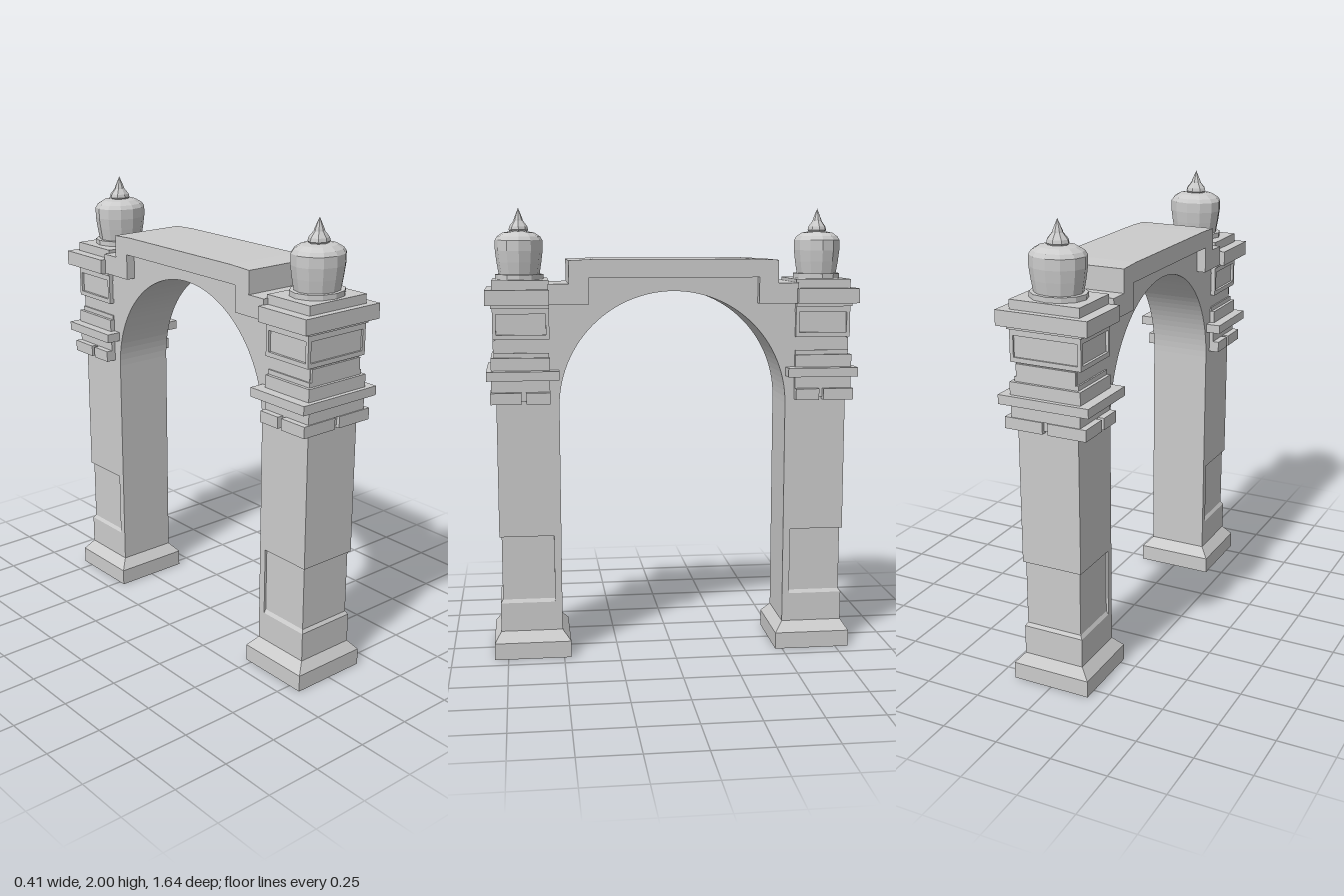
import * as THREE from 'three';

const mat = new THREE.MeshStandardMaterial({ color: 0xcccccc, flatShading: true, side: THREE.DoubleSide });

function add(parent, name, geometry) {
  const mesh = new THREE.Mesh(geometry, mat);
  mesh.name = name;
  parent.add(mesh);
  return mesh;
}

// Box given by its limits on each axis
function block(parent, name, x0, x1, y0, y1, z0, z1) {
  const mesh = add(parent, name, new THREE.BoxGeometry(x1 - x0, y1 - y0, z1 - z0));
  mesh.position.set((x0 + x1) / 2, (y0 + y1) / 2, (z0 + z1) / 2);
  return mesh;
}

// Box whose top is shrunk to a smaller rectangle
function taper(parent, name, y0, y1, [hx0, zi0, zo0], [hx1, zi1, zo1]) {
  const g = new THREE.BoxGeometry(1, 1, 1);
  const p = g.attributes.position;
  for (let i = 0; i < p.count; i++) {
    const top = p.getY(i) > 0;
    const hx = top ? hx1 : hx0;
    const z = p.getZ(i) > 0 ? (top ? zo1 : zo0) : (top ? zi1 : zi0);
    p.setXYZ(i, Math.sign(p.getX(i)) * hx, top ? y1 : y0, z);
  }
  g.computeVertexNormals();
  return add(parent, name, g);
}

function lathe(parent, name, points, sides) {
  return add(parent, name, new THREE.LatheGeometry(points.map(([r, y]) => new THREE.Vector2(r, y)), sides));
}

function createPillar() {
  const pillar = new THREE.Group();
  const IN = 0.505, OUT = 0.78, W = 0.138;

  // Plinth and its sloped shoulder
  block(pillar, 'plinth', -0.178, 0.178, 0, 0.075, 0.468, 0.81);
  taper(pillar, 'plinthShoulder', 0.075, 0.12, [0.178, 0.468, 0.81], [W, IN, OUT]);

  // Shaft with a shallow sunken band wrapping its outer faces
  block(pillar, 'lowerShaft', -W, W, 0.12, 0.25, IN, OUT);
  taper(pillar, 'sunkenBandSill', 0.25, 0.265, [W, IN, OUT], [0.128, IN, 0.77]);
  block(pillar, 'sunkenBand', -0.128, 0.128, 0.265, 0.555, IN, 0.77);
  block(pillar, 'shaftInnerStrip', -W, W, 0.25, 0.555, IN, 0.537);
  block(pillar, 'upperShaft', -W, W, 0.555, 1.135, IN, OUT);
  block(pillar, 'capitalCore', -W, W, 1.135, 1.65, 0.55, OUT);

  // Stacked mouldings: bottom, top, half width, inner z, outer z
  const mouldings = [
    [1.165, 1.205, 0.155, 0.548, 0.79],
    [1.205, 1.26, 0.157, 0.545, 0.80],
    [1.26, 1.30, 0.205, 0.505, 0.82],
    [1.30, 1.355, 0.16, 0.545, 0.80],
    [1.355, 1.375, 0.145, 0.547, 0.787],
    [1.375, 1.43, 0.135, 0.545, 0.79],
    [1.435, 1.455, 0.16, 0.545, 0.79],
    [1.455, 1.545, 0.148, 0.55, 0.782],
    [1.545, 1.57, 0.16, 0.545, 0.79],
    [1.57, 1.585, 0.168, 0.545, 0.797],
    [1.585, 1.65, 0.205, 0.545, 0.82],
    [1.65, 1.69, 0.157, 0.545, 0.79],
  ];
  for (const [y0, y1, hx, zi, zo] of mouldings) block(pillar, 'moulding', -hx, hx, y0, y1, zi, zo);

  for (const s of [-1, 1]) {
    // Bracket blocks under the capital, split in the middle of each face
    const cx = s * 0.0985;
    block(pillar, 'bracketBlock', cx - 0.0865, cx + 0.0865, 1.155, 1.205, 0.67, 0.805);
    const ix = s * 0.15;
    block(pillar, 'bracketBlock', ix - 0.035, ix + 0.035, 1.155, 1.205, 0.545, 0.65);
    // Corner posts framing the sunken capital panel
    for (const z of [0.5525, 0.7825]) {
      block(pillar, 'panelPost', s * 0.152 - 0.008, s * 0.152 + 0.008, 1.455, 1.545, z - 0.0075, z + 0.0075);
    }
  }

  // Oval urn with a pointed finial
  const urn = new THREE.Group();
  urn.name = 'urn';
  urn.position.z = 0.67;
  urn.scale.z = 0.87;
  pillar.add(urn);
  lathe(urn, 'urnFoot', [[0, 1.685], [0.122, 1.685], [0.122, 1.712], [0, 1.715]], 12);
  lathe(urn, 'urnBody', [[0.103, 1.71], [0.113, 1.765], [0.12, 1.815], [0.12, 1.86],
    [0.108, 1.877], [0.08, 1.893], [0, 1.905]], 12);
  lathe(urn, 'finial', [[0.04, 1.893], [0.049, 1.905], [0.045, 1.92], [0.024, 1.945],
    [0.022, 1.952], [0, 2]], 8);
  return pillar;
}

// Outline in the z-y plane, thickened evenly along x
function slab(parent, name, shape, halfWidth) {
  const g = new THREE.ExtrudeGeometry(shape, { depth: 2 * halfWidth, bevelEnabled: false, curveSegments: 28 });
  g.translate(0, 0, -halfWidth).rotateY(Math.PI / 2);
  return add(parent, name, g);
}

function polygon(points) {
  return new THREE.Shape(points.map(([u, v]) => new THREE.Vector2(u, v)));
}

export function createModel() {
  const model = new THREE.Group();
  model.name = 'gateway';

  // Two mirrored pillars
  for (const [name, turn] of [['frontPillar', 0], ['backPillar', Math.PI]]) {
    const pillar = createPillar();
    pillar.name = name;
    pillar.rotation.y = turn;
    model.add(pillar);
  }

  // Wall above the round opening
  const wall = polygon([[0.505, 1.135], [0.56, 1.135], [0.56, 1.66], [0.43, 1.66], [0.43, 1.75],
    [-0.43, 1.75], [-0.43, 1.66], [-0.56, 1.66], [-0.56, 1.135], [-0.505, 1.135]]);
  wall.absarc(0, 1.135, 0.505, Math.PI, 0, true);
  slab(model, 'archWall', wall, 0.138);

  // Wider stepped coping along the top
  const half = [[0.55, 1.585], [0.55, 1.675], [0.46, 1.675], [0.46, 1.775], [0.35, 1.78]];
  const under = [[0.375, 1.70], [0.375, 1.585]];
  const flip = (pts) => pts.map(([u, v]) => [-u, v]).reverse();
  slab(model, 'steppedCoping', polygon([...under, ...half, ...flip(half), ...flip(under)]), 0.18);

  return model;
}
